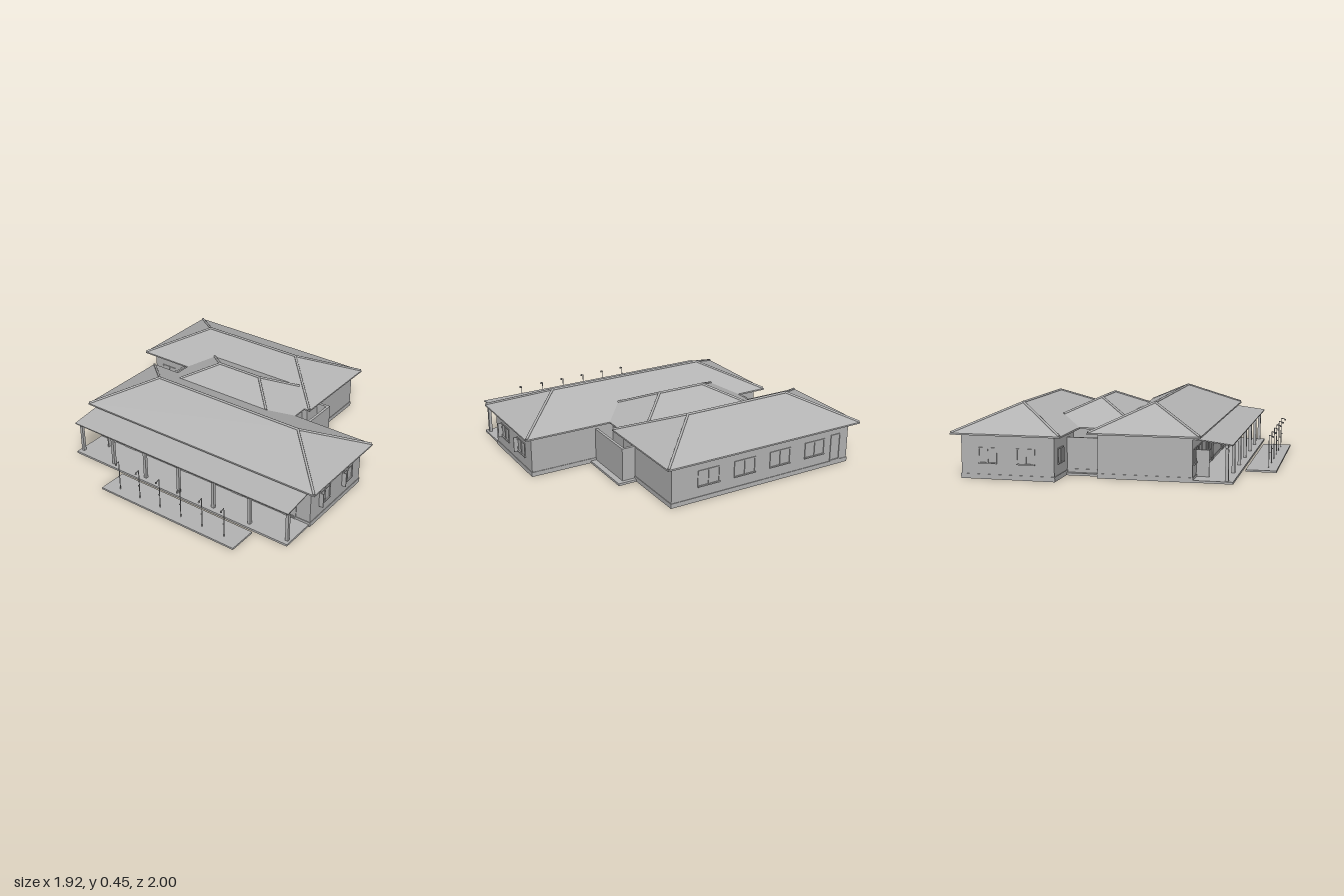
import * as THREE from 'three';

const plaster = new THREE.MeshStandardMaterial({ color: 0xb4b4b4 });
plaster.name = 'grey';

function add(parent, geo, name) {
  const m = new THREE.Mesh(geo, plaster);
  m.name = name;
  parent.add(m);
  return m;
}

// Box given by its limits on each axis
function block(parent, name, x0, x1, y0, y1, z0, z1) {
  const m = add(parent, new THREE.BoxGeometry(x1 - x0, y1 - y0, z1 - z0), name);
  m.position.set((x0 + x1) / 2, (y0 + y1) / 2, (z0 + z1) / 2);
  return m;
}

// Round bar between two points
function bar(parent, name, a, b, r, sides = 8) {
  const p = new THREE.Vector3(...a), q = new THREE.Vector3(...b);
  const d = q.clone().sub(p);
  const m = add(parent, new THREE.CylinderGeometry(r, r, d.length(), sides), name);
  m.position.copy(p).addScaledVector(d, 0.5);
  m.quaternion.setFromUnitVectors(new THREE.Vector3(0, 1, 0), d.normalize());
}

const EAVE = 0.285, RIDGE = 0.443;

// Hipped roof with fascia; capReach is how far the hip caps run down (1 = to the eave)
function hipRoof(parent, name, x0, x1, z0, z1, capReach = 1) {
  const g = new THREE.Group();
  g.name = name;
  parent.add(g);
  const xm = (x0 + x1) / 2, h = (x1 - x0) / 2;
  const A = [x0, EAVE, z1], B = [x1, EAVE, z1], C = [x1, EAVE, z0], D = [x0, EAVE, z0];
  const F = [xm, RIDGE, z1 - h], K = [xm, RIDGE, z0 + h];
  const tris = [A, B, F, B, C, K, B, K, F, C, D, K, D, A, F, D, F, K];
  const geo = new THREE.BufferGeometry();
  geo.setAttribute('position', new THREE.Float32BufferAttribute(tris.flat(), 3));
  geo.computeVertexNormals();
  add(g, geo, 'roofSlopes');
  block(g, 'fascia', x0, x1, EAVE - 0.01, EAVE, z0, z1);
  // Ridge and hip caps
  bar(g, 'ridgeCap', K, F, 0.008);
  for (const [top, low] of [[F, A], [F, B], [K, C], [K, D]]) {
    const reach = capReach === 1 ? 0.985 : capReach;
    bar(g, 'hipCap', top, top.map((v, i) => v + (low[i] - v) * reach), 0.008);
  }
}

// Framed window or door on a wall; it faces +z before turning
function opening(parent, name, x, z, turn, w, y0, y1, openSash = false) {
  const g = new THREE.Group();
  g.name = name;
  const t = 0.008, d = 0.005, h = w / 2;
  block(g, 'jamb', -h, -h + t, y0, y1, 0, d);
  block(g, 'jamb', h - t, h, y0, y1, 0, d);
  block(g, 'head', -h, h, y1 - t, y1, 0, d);
  block(g, 'sill', -h, h, y0, y0 + t, 0, d + 0.003);
  if (w > 0.1) block(g, 'mullion', -t / 2, t / 2, y0, y1, 0, d);
  if (openSash) block(g, 'openSash', -h, -h + 0.006, y0, y1, 0, 0.03);
  g.position.set(x, 0, z);
  g.rotation.y = turn;
  parent.add(g);
}

export function createModel() {
  const model = new THREE.Group();
  model.name = 'building';

  // Wings and the hall joining them, each with a low plinth
  const walls = [
    ['mainWing', -0.5, 0.09, -0.77, 0.945],
    ['sideWing', 0.31, 0.905, -0.945, 0.4],
    ['linkHall', 0.05, 0.35, -0.55, 0.36],
  ];
  for (const [name, x0, x1, z0, z1] of walls) {
    block(model, name, x0, x1, 0, 0.28, z0, z1);
    const e = 0.004;
    block(model, name + 'Plinth', x0 - e, x1 + e, 0, 0.03, z0 - e, z1 + e);
  }

  hipRoof(model, 'mainRoof', -0.555, 0.143, -0.82, 1);
  hipRoof(model, 'sideRoof', 0.255, 0.955, -1, 0.452);
  hipRoof(model, 'linkRoof', -0.14, 0.54, -0.6, 0.41, 0.59);

  // Front porch: slab, step and open-topped screen
  block(model, 'frontPorchSlab', 0.09, 0.485, 0, 0.015, 0.36, 0.53);
  block(model, 'frontPorchStep', 0.09, 0.46, 0.015, 0.037, 0.36, 0.49);
  block(model, 'frontScreen', 0.09, 0.46, 0.037, 0.235, 0.472, 0.49);
  block(model, 'frontScreenReturn', 0.44, 0.46, 0.037, 0.235, 0.4, 0.472);

  // Back porch
  block(model, 'backPorchSlab', 0.09, 0.31, 0, 0.015, -0.72, -0.55);
  block(model, 'backPorchStep', 0.09, 0.31, 0.015, 0.037, -0.69, -0.55);
  block(model, 'backScreen', 0.09, 0.31, 0.037, 0.235, -0.685, -0.67);

  // Windows and side door
  const Q = Math.PI / 2;
  for (const z of [0.135, -0.13, -0.4, -0.675])
    opening(model, 'sideWindow', 0.905, z, Q, 0.16, 0.095, 0.205);
  opening(model, 'sideDoor', 0.905, -0.845, Q, 0.08, 0.03, 0.215);
  for (const x of [-0.34, -0.07])
    opening(model, 'frontWindow', x, 0.945, 0, 0.125, 0.095, 0.195, true);
  for (const x of [0.735, 0.49])
    opening(model, 'backWindow', x, -0.945, 2 * Q, 0.12, 0.095, 0.195);
  opening(model, 'innerWindow', 0.31, -0.82, -Q, 0.12, 0.095, 0.195);
  for (const z of [-0.5, -0.05, 0.4, 0.8]) {
    opening(model, 'verandaDoor', -0.5, z, -Q, 0.09, 0.015, 0.2);
    opening(model, 'verandaWindow', -0.5, z - 0.17, -Q, 0.13, 0.1, 0.2);
  }

  // Veranda: floor, sloping roof, beam and posts
  block(model, 'verandaFloor', -0.745, -0.5, 0, 0.014, -0.77, 0.94);
  const slope = Math.atan2(0.03, 0.24);
  const roof = add(model, new THREE.BoxGeometry(0.245, 0.007, 1.71), 'verandaRoof');
  roof.position.set(-0.62, 0.249, 0.085);
  roof.rotation.z = slope;
  block(model, 'verandaBeam', -0.713, -0.697, 0.215, 0.235, -0.76, 0.93);
  for (let i = 0; i < 7; i++) {
    const z = -0.745 + i * 0.277;
    block(model, 'verandaPost', -0.715, -0.695, 0.014, 0.205, z - 0.01, z + 0.01);
    block(model, 'postHead', -0.711, -0.699, 0.205, 0.22, z - 0.006, z + 0.006);
  }
  block(model, 'verandaScreen', -0.58, -0.5, 0.014, 0.18, -0.64, -0.632);

  // Detached slab with a row of hooked standpipes
  block(model, 'outerSlab', -0.96, -0.765, 0, 0.012, -0.345, 0.7);
  for (let i = 0; i < 6; i++) {
    const z = -0.24 + i * 0.166;
    bar(model, 'standpipe', [-0.9, 0.012, z], [-0.9, 0.222, z], 0.003, 6);
    bar(model, 'pipeArm', [-0.9, 0.222, z], [-0.926, 0.215, z], 0.003, 6);
    bar(model, 'pipeHead', [-0.926, 0.217, z], [-0.928, 0.206, z], 0.006, 8);
    bar(model, 'tap', [-0.91, 0.11, z], [-0.9, 0.11, z], 0.004, 6);
  }
  return model;
}
